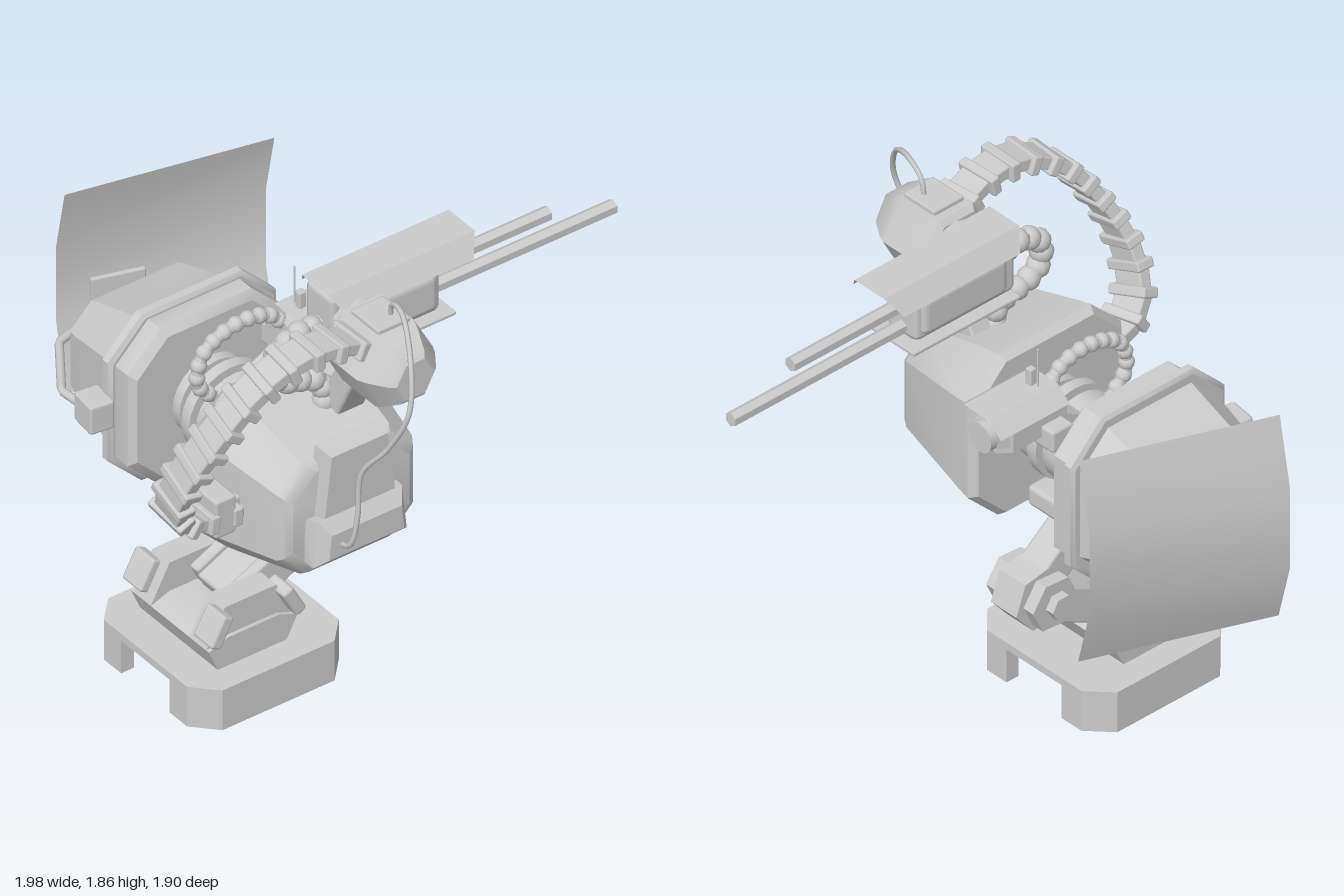
import * as THREE from 'three';
import { toCreasedNormals } from 'three/addons/utils/BufferGeometryUtils.js';
import { RoundedBoxGeometry } from 'three/addons/geometries/RoundedBoxGeometry.js';

const mat = new THREE.MeshStandardMaterial({ color: 0xcccccc });
const sheetMat = new THREE.MeshStandardMaterial({ color: 0xcccccc, side: THREE.DoubleSide });
const V = (x, y, z) => new THREE.Vector3(x, y, z);
const MID = -0.03; // z of the leg, axle and side sensor
const CX = -0.32, CY = 1.01; // centre line of both pods

export function createModel() {
  const root = new THREE.Group();

  function add(name, geo, pos = [0, 0, 0], rot = [0, 0, 0], parent = root, m = mat) {
    const mesh = new THREE.Mesh(geo, m);
    mesh.name = name;
    mesh.position.set(...pos);
    mesh.rotation.set(...rot);
    parent.add(mesh);
    return mesh;
  }
  function group(name) {
    const g = new THREE.Group();
    g.name = name;
    root.add(g);
    return g;
  }
  const box = (w, h, d, r = 0.012) => new RoundedBoxGeometry(w, h, d, 1, r);

  // Prism or cylinder lying along an axis, turned by "spin" about it
  function prism(axis, r1, r2, len, sides, spin = Math.PI / 6) {
    const g = new THREE.CylinderGeometry(r1, r2, len, sides, 1, false, spin);
    if (axis === 'x') g.rotateZ(-Math.PI / 2);
    if (axis === 'z') g.rotateX(Math.PI / 2);
    return toCreasedNormals(g, 0.6);
  }

  // Surface through rows of points; closed rows get end caps
  function loft(rows, closed = true) {
    const p = [];
    const tri = (...vs) => vs.forEach(v => p.push(v.x, v.y, v.z));
    const n = rows[0].length;
    for (let i = 0; i < rows.length - 1; i++)
      for (let j = 0; j < (closed ? n : n - 1); j++) {
        const k = (j + 1) % n, a = rows[i], b = rows[i + 1];
        tri(a[j], a[k], b[k]);
        tri(a[j], b[k], b[j]);
      }
    if (closed)
      for (let j = 1; j < n - 1; j++) {
        const a = rows[0], b = rows[rows.length - 1];
        tri(a[0], a[j + 1], a[j]);
        tri(b[0], b[j], b[j + 1]);
      }
    const g = new THREE.BufferGeometry();
    g.setAttribute('position', new THREE.Float32BufferAttribute(p, 3));
    return toCreasedNormals(g, 0.5);
  }

  // Octagonal ring: depth z, half width, half height, chamfer
  const ring = ([z, w, h, c]) => [[w, -h + c], [w, h - c], [w - c, h], [c - w, h],
    [-w, h - c], [-w, c - h], [c - w, -h], [w - c, -h]].map(([x, y]) => V(CX + x, CY + y, z));

  // Foot: octagonal slab on two C-shaped walls
  const foot = group('foot');
  const shape = pts => new THREE.Shape(pts.map(q => new THREE.Vector2(...q)));
  const extrude = (pts, depth) =>
    new THREE.ExtrudeGeometry(shape(pts), { depth, bevelEnabled: false }).rotateX(-Math.PI / 2);
  const outer = [[0.325, 0.14], [0.325, 0.24], [0.24, 0.33], [-0.24, 0.33], [-0.325, 0.24], [-0.325, 0.14]];
  const inner = [[-0.27, 0.14], [-0.27, 0.21], [-0.21, 0.28], [0.21, 0.28], [0.27, 0.21], [0.27, 0.14]];
  const turned = outer.map(([x, y]) => [-x, -y]);
  for (const a of [0, Math.PI]) add('footWall', extrude([...outer, ...inner], 0.142), [-0.405, 0, MID], [0, a, 0], foot);
  add('footTop', extrude([...outer, ...turned], 0.03), [-0.405, 0.14, MID], [0, 0, 0], foot);

  // Ankle: faceted block with four sloping pads
  const ankle = group('ankle');
  const side = [[-0.15, 0.165], [0.14, 0.165], [0.19, 0.26], [0.11, 0.41], [-0.11, 0.41], [-0.19, 0.26]];
  add('ankleLower', loft([-0.225, 0.225].map(z => side.map(([x, y]) =>
    V(x - 0.435, Math.min(y, 0.29), z + MID)))), [0, 0, 0], [0, 0, 0], ankle);
  for (const s of [-1, 1]) {
    add('ankleCheek', loft([-0.05, 0.05].map(z => side.map(([x, y]) => V(x - 0.435, y, z + MID + s * 0.16)))),
      [0, 0, 0], [0, 0, 0], ankle);
    for (const t of [-1, 1])
      add('anklePad', box(0.05, 0.13, 0.11), [-0.435 + t * 0.155, 0.345, MID + s * 0.205], [0, 0, t * 0.5], ankle);
  }

  // Leg: forked shin, hexagonal knee, thigh and hip
  const leg = group('leg');
  for (const s of [-1, 1]) {
    add('shinPlate', box(0.42, 0.14, 0.05), [-0.24, 0.39, MID + s * 0.095], [0, 0, 0.46], leg);
    add('kneeCheek', prism('z', 0.105, 0.105, 0.05, 6, 0.6), [-0.07, 0.48, MID + s * 0.095], [0, 0, 0], leg);
    add('kneeBolt', prism('z', 0.05, 0.05, 0.04, 6), [-0.075, 0.48, MID + s * 0.135], [0, 0, 0], leg);
  }
  add('shinCore', box(0.34, 0.1, 0.16), [-0.28, 0.37, MID], [0, 0, 0.46], leg);
  add('knee', prism('z', 0.125, 0.125, 0.13, 6, 0.35), [-0.06, 0.48, MID], [0, 0, 0], leg);
  add('thigh', box(0.4, 0.13, 0.13), [-0.2, 0.61, MID], [0, 0, -0.67], leg);
  add('hip', box(0.3, 0.085, 0.28, 0.02), [CX, 0.76, MID], [0, 0, 0], leg);
  for (const s of [-1, 1]) add('hipLug', box(0.16, 0.2, 0.04), [CX, 0.86, MID + s * 0.035], [0, 0, 0], leg);

  // Axle: stepped discs between the pods
  const axle = group('axle');
  for (const [r, w, o] of [[0.11, 0.46, 0], [0.17, 0.07, 0], [0.185, 0.045, 0.075], [0.185, 0.045, -0.075],
    [0.16, 0.05, 0.165], [0.16, 0.05, -0.165]])
    add('axleDisc', prism('z', r, r, w, 24), [CX, 1, MID + o], [0, 0, 0], axle);

  // Pods: chamfered tapering housings
  add('frontPod', loft([[0.15, 0.335, 0.32, 0.13], [0.18, 0.357, 0.342, 0.14], [0.24, 0.35, 0.33, 0.14],
    [0.565, 0.29, 0.24, 0.1], [0.59, 0.275, 0.225, 0.1], [0.605, 0.25, 0.2, 0.1]].map(ring)));
  add('rearPod', loft([[-0.66, 0.25, 0.185, 0.09], [-0.645, 0.275, 0.205, 0.09], [-0.61, 0.285, 0.22, 0.1],
    [-0.35, 0.325, 0.31, 0.13], [-0.3, 0.335, 0.335, 0.14], [-0.235, 0.335, 0.335, 0.14],
    [-0.21, 0.31, 0.305, 0.13]].map(ring)));
  add('rearBand', loft([[-0.355, 0.345, 0.34, 0.14], [-0.345, 0.36, 0.355, 0.145], [-0.315, 0.36, 0.355, 0.145],
    [-0.305, 0.345, 0.34, 0.14]].map(ring)));

  // Front hatch: tapering slab with a bulging lower box
  const hatch = group('frontHatch');
  const trap = (z, w, b, w2, t) => [V(CX - w, b, z), V(CX + w, b, z), V(CX + w2, t, z), V(CX - w2, t, z)];
  add('hatchSlab', loft([trap(0.57, 0.18, 0.86, 0.13, 1.3), trap(0.655, 0.17, 0.87, 0.12, 1.29)]),
    [0, 0, 0], [0, 0, 0], hatch);
  add('hatchBox', loft([trap(0.58, 0.2, 0.85, 0.2, 1.02), trap(0.655, 0.2, 0.85, 0.18, 1.04),
    trap(0.695, 0.16, 0.89, 0.15, 0.99)]), [0, 0, 0], [0, 0, 0], hatch);

  // Head: six-sided drum with a rounded nose
  const head = group('head');
  const profile = [[0, 0.47], [0.14, 0.47], [0.163, 0.49], [0.163, 0.68], [0.15, 0.71], [0.1, 0.785], [0.08, 0.8], [0, 0.8]];
  add('headDrum', toCreasedNormals(new THREE.LatheGeometry(profile.map(q => new THREE.Vector2(...q)), 6, Math.PI / 6)
    .rotateX(Math.PI / 2), 0.4), [-0.19, 1.6, 0], [0, 0, 0], head).scale.y = 1.06;
  add('headCap', box(0.14, 0.025, 0.16, 0.008), [-0.19, 1.755, 0.6], [0, 0, 0], head);
  add('neck', box(0.12, 0.3, 0.1), [-0.21, 1.38, 0.45], [0.45, 0, 0], head);
  add('gunPivot', prism('z', 0.1, 0.1, 0.12, 12), [-0.17, 1.63, 0.45], [0, 0, 0], head);

  // Bent roof sheet with clipped corners, running along x
  function roof(name, x0, x1, clip, wide, flat, low, high, z, parent) {
    const rows = [[-wide, low, clip], [-flat, high, 0], [flat, high, 0], [wide, low, clip]]
      .map(([w, y, c]) => [V(x0 + c, y, z + w), V(x1 - c, y, z + w)]);
    add(name, loft(rows, false), [0, 0, 0], [0, 0, 0], parent, sheetMat);
  }

  // Twin gun
  const gun = group('gun');
  add('gunBody', box(0.47, 0.25, 0.16, 0.025), [-0.035, 1.625, 0.345], [0, 0, 0], gun);
  add('gunSidePanel', box(0.4, 0.16, 0.2, 0.03), [-0.02, 1.6, 0.345], [0, 0, 0], gun);
  add('gunFloor', box(0.5, 0.015, 0.225, 0.005), [-0.01, 1.49, 0.345], [0, 0, 0], gun);
  roof('gunRoof', -0.28, 0.35, 0.045, 0.13, 0.075, 1.7, 1.77, 0.34, gun);
  for (const [y, end] of [[1.635, 0.72], [1.54, 1]])
    add('gunBarrel', prism('x', 0.028, 0.028, end - 0.1, 6), [(end + 0.1) / 2, y, 0.338], [0, 0, 0], gun);

  // Side sensor with its roof and aerial
  const sensor = group('sideSensor');
  add('sensorBody', prism('x', 0.105, 0.105, 0.25, 6), [-0.025, 1.25, MID], [0, 0, 0], sensor);
  add('sensorNeck', prism('x', 0.065, 0.085, 0.05, 6), [0.12, 1.25, MID], [0, 0, 0], sensor);
  add('sensorLens', prism('x', 0.06, 0.06, 0.04, 12), [0.155, 1.25, MID], [0, 0, 0], sensor);
  add('sensorMount', box(0.1, 0.09, 0.3), [-0.08, 1.2, MID], [0, 0, 0], sensor);
  add('sensorStrut', box(0.16, 0.1, 0.1), [-0.17, 1.16, MID], [0, 0, 0.5], sensor);
  roof('sensorRoof', -0.13, 0.19, 0, 0.125, 0.065, 1.31, 1.365, MID, sensor);
  add('aerialBase', box(0.03, 0.08, 0.03, 0.006), [-0.065, 1.39, MID], [0, 0, 0], sensor);
  add('aerial', prism('y', 0.004, 0.004, 0.3, 6), [-0.07, 1.37, -0.06], [0, 0, 0], sensor);

  // Hoses and wires follow smooth curves
  const curve = pts => new THREE.CatmullRomCurve3(pts.map(q => V(...q)));
  function beadedHose(name, pts, r, count) {
    const c = curve(pts), g = group(name);
    add('hoseCore', new THREE.TubeGeometry(c, 32, r * 0.75, 8), [0, 0, 0], [0, 0, 0], g);
    for (let i = 0; i <= count; i++)
      add('hoseBead', new THREE.SphereGeometry(r, 10, 8), c.getPointAt(i / count).toArray(), [0, 0, 0], g);
  }
  beadedHose('gunHose', [[-0.25, 1.6, 0.35], [-0.38, 1.61, 0.36], [-0.47, 1.55, 0.36], [-0.45, 1.45, 0.36],
    [-0.35, 1.41, 0.36], [-0.28, 1.38, 0.37], [-0.27, 1.3, 0.38]], 0.045, 11);
  beadedHose('sensorHose', [[-0.12, 1.3, MID - 0.01], [-0.2, 1.38, MID - 0.01], [-0.34, 1.4, MID - 0.01],
    [-0.47, 1.34, MID - 0.01], [-0.5, 1.22, MID - 0.01], [-0.42, 1.12, MID - 0.01]], 0.03, 13);
  add('headWire', new THREE.TubeGeometry(curve([[-0.165, 1.75, 0.62], [-0.17, 1.82, 0.64], [-0.2, 1.845, 0.74],
    [-0.27, 1.76, 0.88], [-0.32, 1.6, 0.94], [-0.36, 1.42, 0.87], [-0.4, 1.27, 0.77], [-0.415, 1.1, 0.77],
    [-0.43, 0.97, 0.75], [-0.425, 0.93, 0.68]]), 48, 0.01, 6));

  // Ammunition belt: flat links alternating with wider ribs
  const belt = group('ammoBelt');
  const path = curve([[-0.27, 1.68, 0.59], [-0.4, 1.73, 0.6], [-0.55, 1.74, 0.6], [-0.72, 1.66, 0.58], [-0.86, 1.48, 0.53],
    [-0.94, 1.27, 0.45], [-0.92, 1.1, 0.38], [-0.83, 1.02, 0.35], [-0.62, 1.0, 0.35]]);
  const N = 30, step = path.getLength() / N;
  for (let i = 0; i <= N; i++) {
    const rib = i % 2;
    const link = add(rib ? 'beltRib' : 'beltLink',
      rib ? box(step * 0.8, 0.075, 0.17, 0.008) : box(step * 1.7, 0.05, 0.13, 0.008),
      path.getPointAt(i / N).toArray(), [0, 0, 0], belt);
    const t = path.getTangentAt(i / N);
    const up = V(0, 0, 1).cross(t).normalize();
    link.quaternion.setFromRotationMatrix(new THREE.Matrix4().makeBasis(t, up, t.clone().cross(up)));
  }
  add('beltSocket', box(0.09, 0.16, 0.15), [-0.72, 1.02, 0.35], [0, 0, 0], belt);
  add('beltPort', box(0.12, 0.1, 0.13), [-0.66, 1.01, 0.33], [0, 0, 0], belt);

  // Rear shield: bent sheet on a cranked arm
  const shield = group('rearShield');
  const section = [[1.55, 0.075, -0.02], [1.28, 0, 0], [0.95, 0, 0], [0.695, 0.075, -0.015]];
  add('shieldPlate', loft(section.map(([y, dz, dx]) =>
    [V(0.31 + dx, y, -0.735 + dz), V(-0.425 + dx, y - 0.05, -0.955 + dz)]), false),
    [0, 0, 0], [0, 0, 0], shield, sheetMat);
  const arm = new THREE.CurvePath();
  const joints = [[-0.73, 1.02, -0.36], [-0.74, 1.02, -0.5], [-0.58, 1.02, -0.73], [-0.24, 1.02, -0.82]].map(q => V(...q));
  for (let i = 0; i < 3; i++) arm.add(new THREE.LineCurve3(joints[i], joints[i + 1]));
  add('shieldArm', new THREE.TubeGeometry(arm, 40, 0.016, 8), [0, 0, 0], [0, 0, 0], shield).scale.set(1, 1, 1);
  add('shieldPad', box(0.2, 0.1, 0.02, 0.005), [-0.22, 1.02, -0.875], [0, -0.29, 0], shield);
  add('shieldBracket', box(0.1, 0.12, 0.12), [-0.715, 1.02, -0.345], [0, -0.12, 0], shield);

  return root;
}
